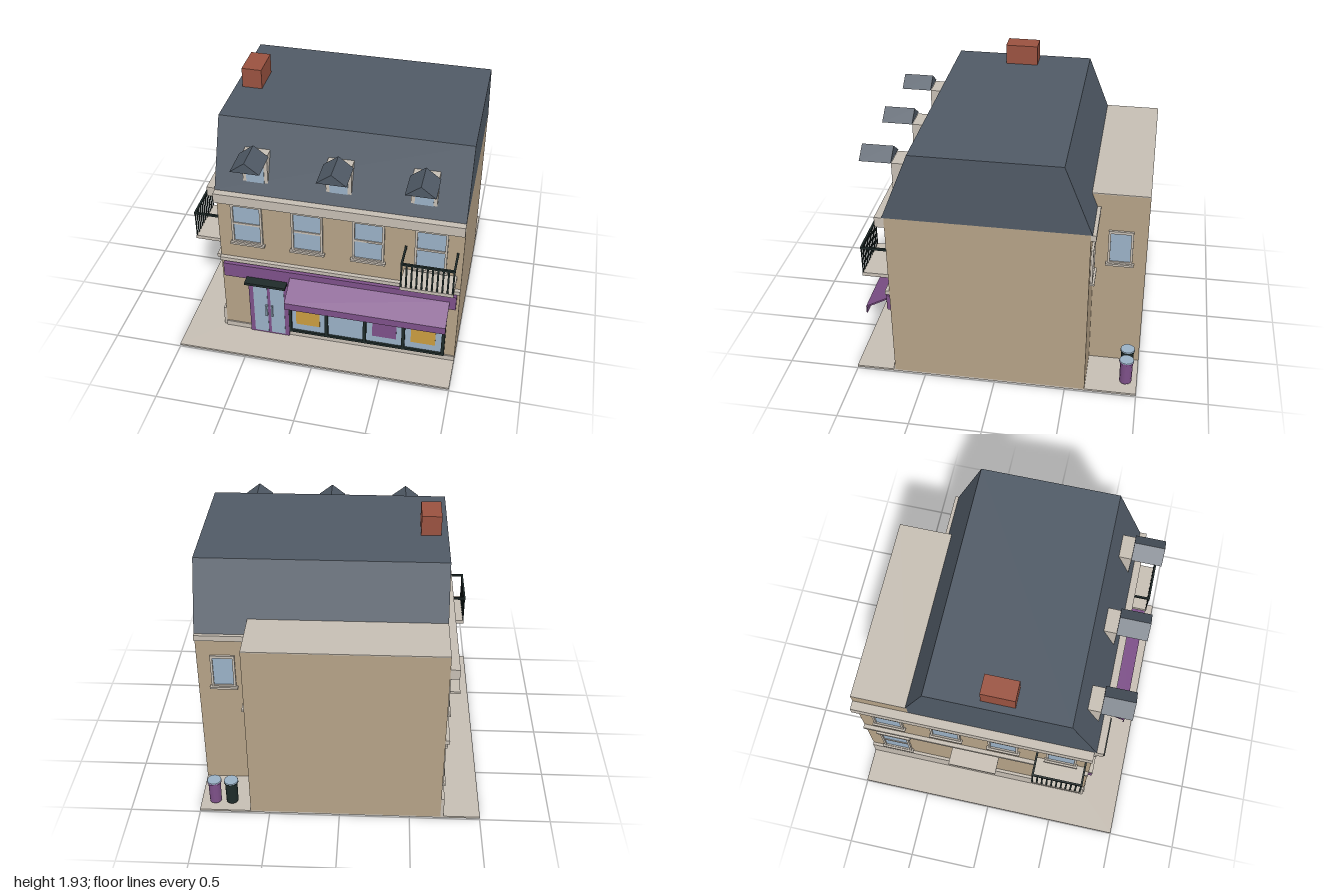
import * as THREE from 'three';

const mat = (name, color) => {
  const m = new THREE.MeshStandardMaterial({ color });
  m.name = name;
  return m;
};

export function createModel() {
  const tan = mat('tan wall', 0xb5a287), cream = mat('pale stone', 0xc6beb3), slate = mat('slate', 0x505a66);
  const purple = mat('purple paint', 0x7e5189), glass = mat('blue glass', 0x9ab1c6), brick = mat('red brick', 0x9a5240);
  const ochre = mat('ochre', 0xca9c40), dark = mat('dark metal', 0x1f2b2a), green = mat('green door', 0x34502f);

  const model = new THREE.Group();
  model.name = 'cornerShop';

  const add = (parent, name, geo, material) => {
    const m = new THREE.Mesh(geo, material);
    m.name = name;
    parent.add(m);
    return m;
  };
  // Box given by its limits on each axis
  const box = (parent, name, material, x0, x1, y0, y1, z0, z1) => {
    const m = add(parent, name, new THREE.BoxGeometry(x1 - x0, y1 - y0, z1 - z0), material);
    m.position.set((x0 + x1) / 2, (y0 + y1) / 2, (z0 + z1) / 2);
    return m;
  };
  // Group whose local +z points out of a wall
  const onWall = (name, x, z, turn) => {
    const g = new THREE.Group();
    g.name = name;
    g.position.set(x, 0, z);
    g.rotation.y = turn;
    model.add(g);
    return g;
  };
  const rect = (Kind, x0, x1, y0, y1) => new Kind().moveTo(x0, y0).lineTo(x1, y0).lineTo(x1, y1).lineTo(x0, y1).closePath();
  const FRONT = 0, SIDE = -Math.PI / 2, BACK = Math.PI, INNER = Math.PI / 2;

  // Ground
  box(model, 'pavement', cream, -1, 1, 0.01, 0.024, -1, 1);
  box(model, 'doorstep', cream, -0.55, -0.2, 0, 0.01, 0.72, 0.9);

  // Walls
  box(model, 'mainWalls', tan, -0.72, 1, 0.02, 1.305, -0.64, 0.72);
  box(model, 'rearWing', tan, -0.72, 0.635, 0.02, 1.398, -1, -0.6);
  box(model, 'rearWingRoof', cream, -0.72, 0.635, 1.398, 1.405, -1, -0.6);

  // Stone bands
  box(model, 'frontPlinth', cream, -0.72, 1, 0.024, 0.065, 0.72, 0.73);
  box(model, 'sidePlinth', cream, -0.742, -0.72, 0.024, 0.185, -1, 0.72);
  box(model, 'frontBand', cream, -0.72, 1, 0.685, 0.715, 0.72, 0.75);
  box(model, 'sideBand', cream, -0.75, -0.72, 0.685, 0.715, -1, 0.72);
  box(model, 'frontCornice', cream, -0.72, 1, 1.23, 1.304, 0.72, 0.785);
  box(model, 'sideCornice', cream, -0.783, -0.72, 1.23, 1.304, -1, 0.72);
  box(model, 'backCornice', cream, 0.635, 1, 1.262, 1.304, -0.675, -0.64);

  // Mansard roof, swept along x
  const roofShape = new THREE.Shape();
  [[-0.735, 1.304], [0.65, 1.304], [0.46, 1.785], [-0.54, 1.785]].forEach(([x, y], i) =>
    i ? roofShape.lineTo(x, y) : roofShape.moveTo(x, y));
  const roof = add(model, 'mansardRoof', new THREE.ExtrudeGeometry(roofShape, { depth: 1.72, bevelEnabled: false }), slate);
  roof.rotation.y = Math.PI / 2;
  roof.position.x = -0.72;
  box(model, 'chimney', brick, -0.67, -0.53, 1.78, 1.93, -0.08, 0.155);

  // Dormers with small gabled hoods
  const hood = new THREE.Shape().moveTo(-0.1, 1.61).lineTo(0.1, 1.61).lineTo(0, 1.688).closePath();
  for (const x of [-0.435, 0.138, 0.71]) {
    const d = onWall('dormer', x, 0, FRONT);
    box(d, 'dormerBody', cream, -0.087, 0.087, 1.39, 1.605, 0.56, 0.703);
    box(d, 'dormerGlass', glass, -0.062, 0.062, 1.39, 1.57, 0.7, 0.708);
    const h = add(d, 'dormerHood', new THREE.ExtrudeGeometry(hood, { depth: 0.215, bevelEnabled: false }), slate);
    h.position.z = 0.702;
  }

  // Sash window: frame, glass, meeting rail, sill and optional lintel
  const sashWindow = (x, z, turn, w, y0, y1, lintel) => {
    const g = onWall('window', x, z, turn), a = w / 2, b = a - 0.016;
    const s = rect(THREE.Shape, -a, a, y0, y1);
    s.holes.push(rect(THREE.Path, -b, b, y0 + 0.016, y1 - 0.02));
    add(g, 'windowFrame', new THREE.ExtrudeGeometry(s, { depth: 0.016, bevelEnabled: false }), cream);
    box(g, 'windowGlass', glass, -b, b, y0 + 0.016, y1 - 0.02, 0, 0.005);
    box(g, 'windowSill', cream, -a - 0.012, a + 0.012, y0 - 0.012, y0 + 0.004, 0, 0.03);
    if (lintel) {
      box(g, 'meetingRail', cream, -b, b, (y0 + y1) / 2 - 0.01, (y0 + y1) / 2 + 0.006, 0, 0.012);
      box(g, 'lintel', cream, -a - 0.02, a + 0.02, y1, y1 + 0.022, 0, 0.024);
    }
  };
  for (let i = 0; i < 4; i++) {
    sashWindow(-0.51 + i * 0.43, 0.72, FRONT, 0.222, 0.862, 1.2, true);
    sashWindow(-0.72, -0.785 + i * 0.43, SIDE, 0.222, 0.862, 1.2, true);
  }
  for (const z of [-0.785, 0.505]) sashWindow(-0.72, z, SIDE, 0.222, 0.24, 0.578, true);
  sashWindow(0.82, -0.64, BACK, 0.17, 0.865, 1.125, false);
  sashWindow(0.635, -0.82, INNER, 0.17, 0.865, 1.125, false);

  // Balconies: slab, handrail and flat bars
  const balcony = (x, z, turn) => {
    const g = onWall('balcony', x, z, turn);
    box(g, 'balconySlab', cream, -0.183, 0.183, 0.803, 0.83, 0, 0.19);
    box(g, 'frontRail', dark, -0.183, 0.183, 1.02, 1.036, 0.176, 0.19);
    for (const s of [-1, 1]) box(g, 'sideRail', dark, s * 0.176 - 0.007, s * 0.176 + 0.007, 1.02, 1.036, 0, 0.176);
    for (let i = 0; i < 11; i++) {
      const bx = -0.176 + i * 0.0352;
      box(g, 'balconyBar', dark, bx - 0.006, bx + 0.006, 0.83, 1.02, 0.181, 0.187);
    }
  };
  balcony(0.785, 0.72, FRONT);
  balcony(-0.72, 0.505, SIDE);

  // Shop fascia and awning
  box(model, 'fascia', purple, -0.7, 0.98, 0.543, 0.66, 0.72, 0.75);
  const awningShape = new THREE.Shape();
  [[-0.745, 0.613], [-0.745, 0.601], [-0.91, 0.508], [-0.91, 0.46], [-0.917, 0.46], [-0.917, 0.517]].forEach(([x, y], i) =>
    i ? awningShape.lineTo(x, y) : awningShape.moveTo(x, y));
  const awning = add(model, 'awning', new THREE.ExtrudeGeometry(awningShape, { depth: 1.145, bevelEnabled: false }), purple);
  awning.rotation.y = Math.PI / 2;
  awning.position.x = -0.21;

  // Shop window with mullions and posters
  box(model, 'shopGlass', glass, -0.23, 0.92, 0.08, 0.51, 0.72, 0.729);
  box(model, 'shopSillRail', dark, -0.235, 0.925, 0.07, 0.09, 0.72, 0.744);
  box(model, 'shopHeadRail', dark, -0.235, 0.925, 0.5, 0.52, 0.72, 0.744);
  [-0.222, 0.052, 0.337, 0.622, 0.912].forEach((x) =>
    box(model, 'shopMullion', dark, x - 0.012, x + 0.012, 0.07, 0.52, 0.72, 0.744));
  [[-0.178, 0, ochre], [0.393, 0.57, purple], [0.677, 0.855, ochre]].forEach(([x0, x1, m]) =>
    box(model, 'poster', m, x0, x1, 0.15, 0.352, 0.728, 0.733));

  // Double shop door and its canopy
  box(model, 'shopDoor', purple, -0.525, -0.23, 0.026, 0.527, 0.72, 0.745);
  for (const s of [-1, 1]) {
    const c = -0.376 + s * 0.063;
    box(model, 'shopDoorGlass', glass, c - 0.052, c + 0.052, 0.04, 0.49, 0.743, 0.748);
    const h = -0.376 + s * 0.022;
    box(model, 'shopDoorHandle', glass, h - 0.006, h + 0.006, 0.205, 0.31, 0.746, 0.76);
  }
  box(model, 'doorCanopy', dark, -0.53, -0.23, 0.543, 0.563, 0.72, 0.82);

  // Side door with stone canopy
  const side = onWall('sideEntrance', -0.72, -0.14, SIDE);
  box(side, 'sideDoor', green, -0.12, 0.12, 0.185, 0.56, 0, 0.016);
  box(side, 'sideCanopy', cream, -0.18, 0.18, 0.602, 0.62, 0, 0.142);

  // Bins in the back corner
  [[0.775, dark], [0.895, purple]].forEach(([x, m]) => {
    const bin = onWall('bin', x, -0.92, FRONT);
    add(bin, 'binBody', new THREE.CylinderGeometry(0.045, 0.043, 0.178, 12), m).position.y = 0.139;
    add(bin, 'binRim', new THREE.CylinderGeometry(0.052, 0.052, 0.01, 12), m).position.y = 0.227;
    add(bin, 'binLid', new THREE.CylinderGeometry(0.05, 0.052, 0.006, 12), glass).position.y = 0.235;
  });

  return model;
}
